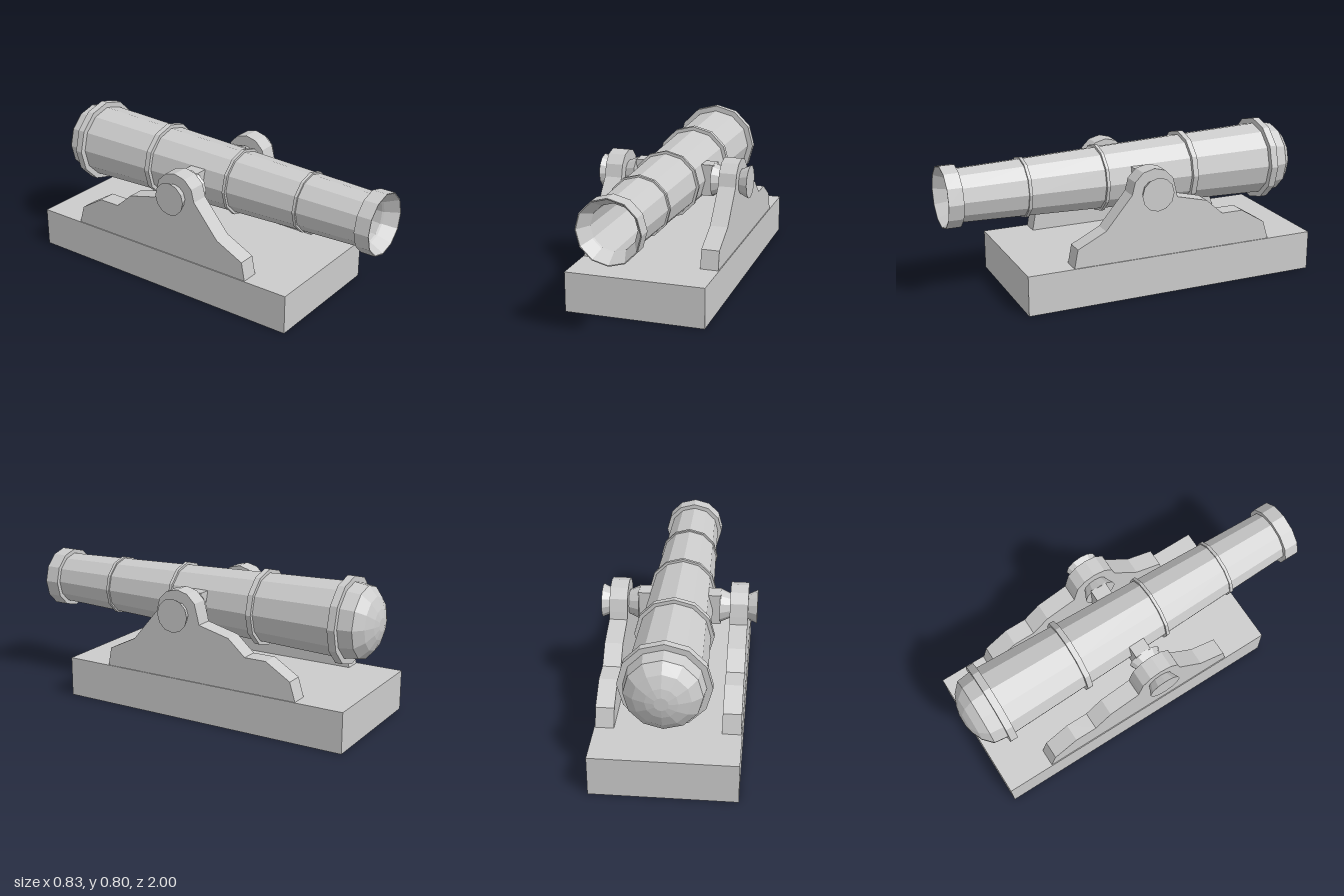
import * as THREE from 'three';

const AXIS_Y = 0.565, PIVOT_Z = -0.025;

export function createModel() {
  const group = new THREE.Group();
  const material = new THREE.MeshStandardMaterial({ color: 0xcccccc, flatShading: true });

  const add = (name, geometry, x = 0, y = 0, z = 0) => {
    const mesh = new THREE.Mesh(geometry, material);
    mesh.name = name;
    mesh.position.set(x, y, z);
    group.add(mesh);
    return mesh;
  };
  // Twelve-sided turned part from [radius, position along axis] pairs
  const turned = (pairs) =>
    new THREE.LatheGeometry(pairs.map(([r, h]) => new THREE.Vector2(r, h)), 12);

  // Base block
  add('base', new THREE.BoxGeometry(0.74, 0.215, 1.64), 0, 0.1075, -0.15);

  // Barrel: rounded breech, raised bands, muzzle ring, then the hollow bore
  const barrel = turned([
    [0, -1], [0.035, -1], [0.08, -0.99], [0.14, -0.965], [0.19, -0.92], [0.2, -0.845],
    [0.23, -0.845], [0.23, -0.805], [0.2, -0.805],
    [0.186, -0.365], [0.205, -0.365], [0.205, -0.335], [0.185, -0.335],
    [0.169, 0.14], [0.182, 0.14], [0.182, 0.157], [0.168, 0.157],
    [0.154, 0.56], [0.162, 0.56], [0.162, 0.577], [0.153, 0.577],
    [0.142, 0.92], [0.165, 0.92], [0.165, 1],
    [0.16, 1], [0.122, 0.93], [0.118, 0.92],
    [0.118, -0.86], [0.07, -0.92], [0.035, -0.94], [0, -0.94],
  ]);
  barrel.rotateX(Math.PI / 2);
  add('barrel', barrel, 0, AXIS_Y, 0);

  // Stepped cheek outline as [z, y], from front foot to back foot
  const outline = [
    [0.42, 0.21], [0.4, 0.315], [0.245, 0.392], [0.1, 0.565], [0.083, 0.632],
    [0.038, 0.677], [-0.025, 0.693], [-0.085, 0.677], [-0.13, 0.632], [-0.148, 0.565],
    [-0.157, 0.525], [-0.33, 0.482], [-0.425, 0.398], [-0.545, 0.398],
    [-0.68, 0.315], [-0.712, 0.21],
  ];
  // Extruded along z, then turned so that the depth runs along x
  const cheek = new THREE.ExtrudeGeometry(
    new THREE.Shape(outline.map(([z, y]) => new THREE.Vector2(-z, y))),
    { depth: 0.095, bevelEnabled: false });
  cheek.rotateY(Math.PI / 2);

  // Pivot pin, narrow inside the cheek and flared at both ends
  const pin = turned([
    [0, 0.215], [0.09, 0.215], [0.065, 0.27], [0.065, 0.36], [0.09, 0.413], [0, 0.413],
  ]);

  for (const side of [1, -1]) {
    const label = side > 0 ? 'left' : 'right';
    add(label + 'Cheek', cheek, side > 0 ? 0.27 : -0.365);
    add(label + 'PivotPin', pin, 0, AXIS_Y + 0.002, PIVOT_Z).rotation.z = -side * Math.PI / 2;
    add(label + 'PivotMount', new THREE.BoxGeometry(0.1, 0.17, 0.09),
      side * 0.17, AXIS_Y, PIVOT_Z - 0.01);
  }
  return group;
}
